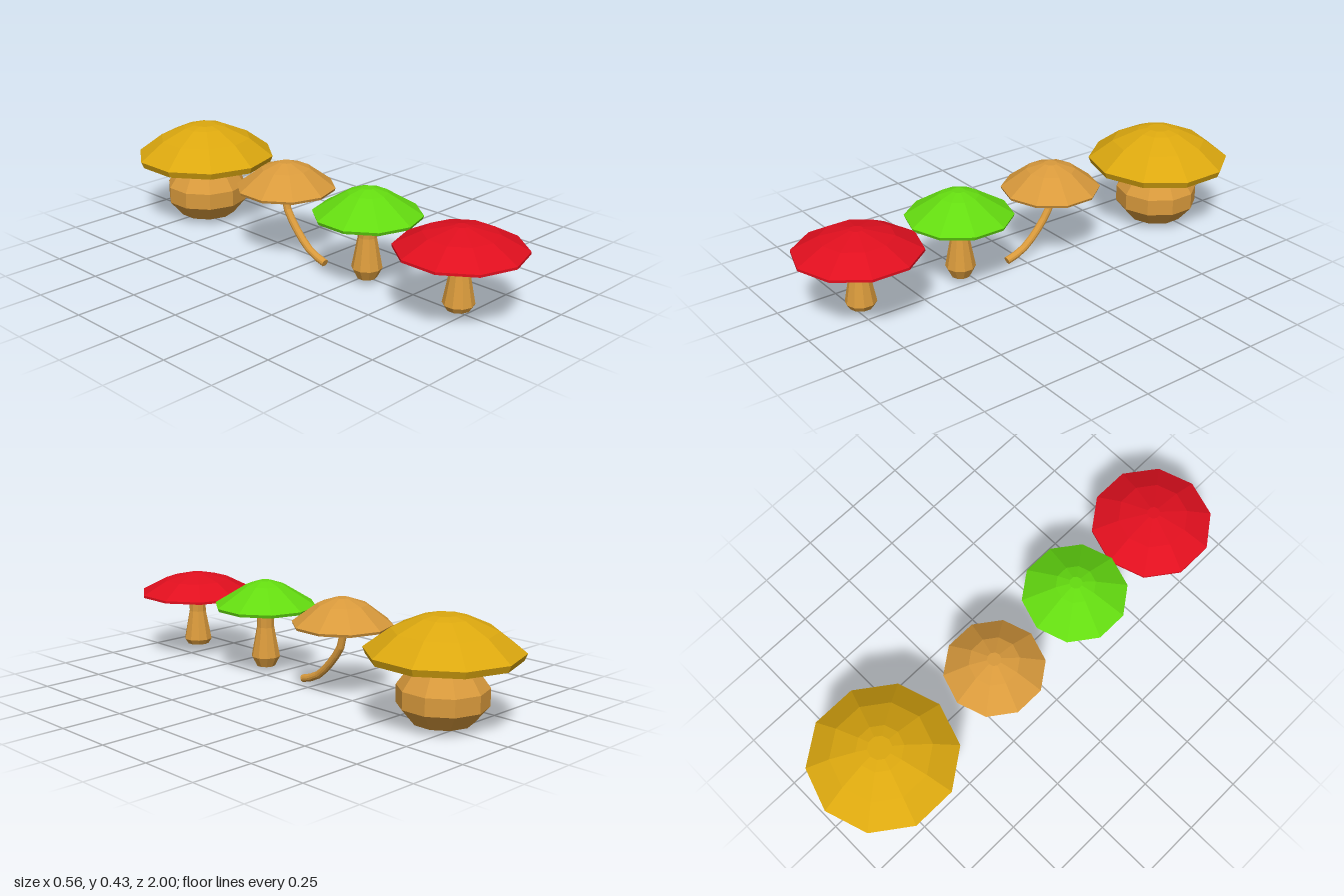
import * as THREE from 'three';

const SIDES = 10;
const material = (color) =>
  new THREE.MeshStandardMaterial({ color, flatShading: true, side: THREE.DoubleSide });
const TAN = 0xd99a3c, RED = 0xe00f1e, GREEN = 0x64dc10, YELLOW = 0xdca80f;

// Ten-sided turned part; profile is [radius, height] from bottom to top
function turned(name, profile, color) {
  const points = profile.map(([r, y]) => new THREE.Vector2(r, y));
  const mesh = new THREE.Mesh(new THREE.LatheGeometry(points, SIDES), material(color));
  mesh.name = name;
  return mesh;
}

// One mushroom: coloured cap, gills below it, and an optional turned stem
function mushroom(name, x, z, color, cap, gills, gillColor, stem) {
  const group = new THREE.Group();
  group.name = name;
  group.position.set(x, 0, z);
  group.add(turned('cap', cap, color), turned('gills', gills, gillColor));
  if (stem) group.add(turned('stem', stem, TAN));
  return group;
}

// Curved stalk that sweeps forward to the ground, with a closed foot
function curvedStem() {
  const group = new THREE.Group();
  group.name = 'curvedStem';
  const path = new THREE.CatmullRomCurve3([
    [0.285, 0], [0.214, 0], [0.134, 0.05], [0.048, 0.142], [0.02, 0.222],
  ].map(([y, z]) => new THREE.Vector3(0, y, z)));
  const tube = new THREE.Mesh(new THREE.TubeGeometry(path, 8, 0.016, 12), material(TAN));
  tube.name = 'stalk';
  const foot = new THREE.Mesh(new THREE.CircleGeometry(0.016, 12), material(TAN));
  foot.name = 'foot';
  foot.position.copy(path.getPoint(1));
  foot.lookAt(foot.position.clone().add(path.getTangent(1)));
  group.add(tube, foot);
  return group;
}

export function createModel() {
  const model = new THREE.Group();
  model.name = 'mushrooms';

  // Wide, shallow red cap
  model.add(mushroom('redMushroom', -0.043, 0.752, RED,
    [[0.248, 0.274], [0.248, 0.284], [0.142, 0.34], [0.026, 0.368], [0, 0.368]],
    [[0, 0.25], [0.037, 0.25], [0.248, 0.274]], TAN,
    [[0, 0.046], [0.047, 0.046], [0.061, 0.068], [0.037, 0.195], [0.037, 0.255]]));

  // Domed green cap
  model.add(mushroom('greenMushroom', -0.043, 0.3, GREEN,
    [[0.21, 0.283], [0.215, 0.296], [0.08, 0.38], [0.026, 0.398], [0, 0.398]],
    [[0, 0.271], [0.037, 0.271], [0.21, 0.283]], TAN,
    [[0, 0.031], [0.039, 0.031], [0.061, 0.073], [0.037, 0.2], [0.037, 0.275]]));

  // Tan cap on a bent stalk
  const bent = mushroom('bentMushroom', -0.043, -0.15, TAN,
    [[0.199, 0.283], [0.203, 0.294], [0.1, 0.371], [0.028, 0.396], [0, 0.396]],
    [[0, 0.274], [0.035, 0.274], [0.199, 0.283]], TAN);
  bent.add(curvedStem());
  model.add(bent);

  // Large yellow cap with a hollow underside on a bulbous stem
  model.add(mushroom('yellowMushroom', 0, -0.703, YELLOW,
    [[0.286, 0.271], [0.297, 0.298], [0.196, 0.374], [0.092, 0.42], [0.047, 0.43], [0, 0.43]],
    [[0.08, 0.31], [0.286, 0.271]], YELLOW,
    [[0, 0.03], [0.117, 0.03], [0.172, 0.095], [0.172, 0.163], [0.102, 0.26], [0.085, 0.315]]));

  return model;
}
